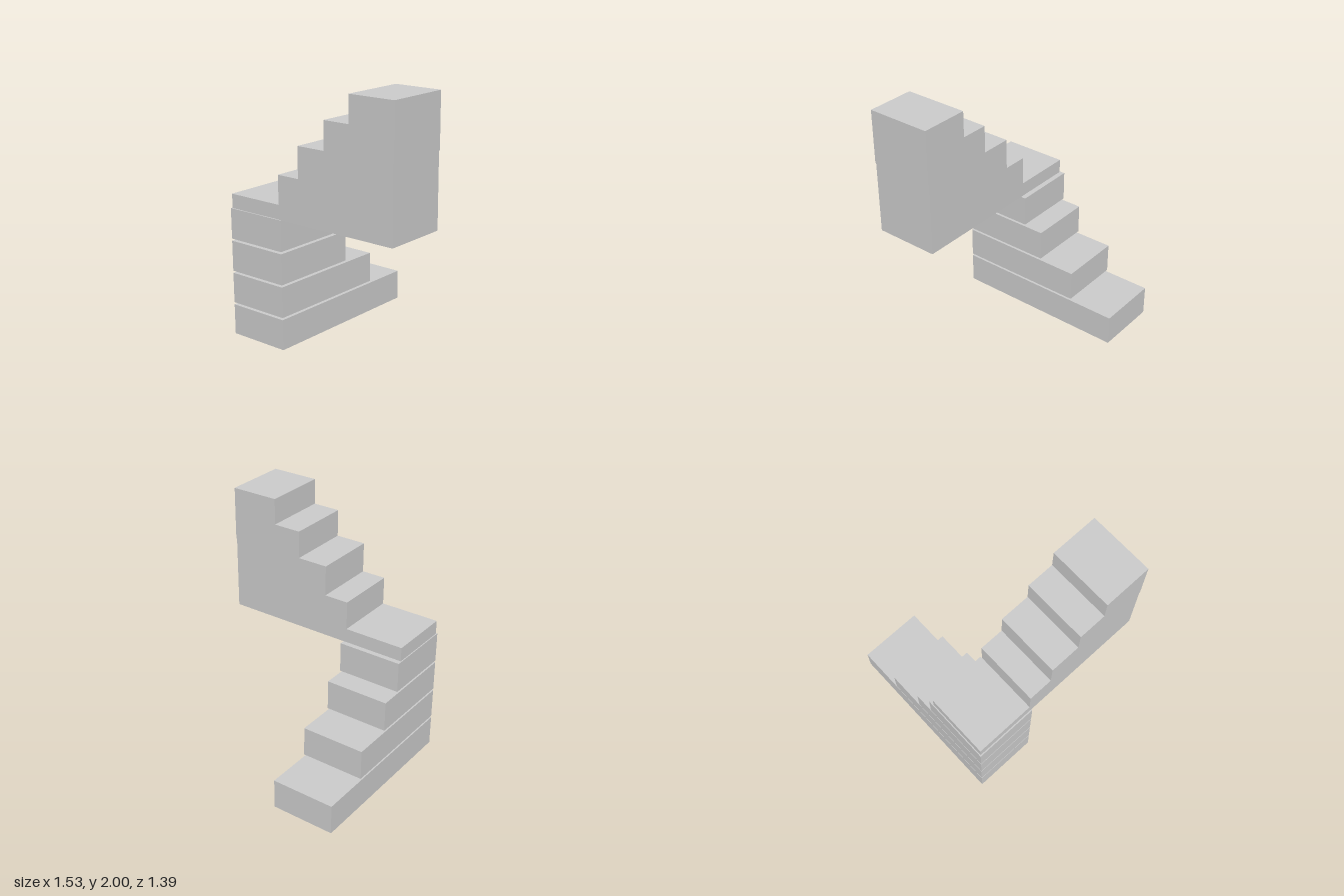
import * as THREE from 'three';

export function createModel() {
  const model = new THREE.Group();
  const material = new THREE.MeshStandardMaterial({ color: 0xcccccc, flatShading: true });

  // Lower flight: separate slabs with thin gaps, sharing one front face
  const slabHeight = 0.24, slabFront = 0.697;
  const slabBacks = [-0.697, -0.325, -0.022, 0.137];
  const lowerFlight = new THREE.Group();
  lowerFlight.name = 'lowerFlight';
  slabBacks.forEach((back, i) => {
    const slab = new THREE.Mesh(new THREE.BoxGeometry(0.51, slabHeight, slabFront - back), material);
    slab.name = `lowerStep${i + 1}`;
    slab.position.set(-0.513, i * 0.257 + slabHeight / 2, (slabFront + back) / 2);
    lowerFlight.add(slab);
  });
  model.add(lowerFlight);

  // Upper flight: solid stepped profile rising towards +x, [riser x, tread y]
  const base = 1.01, right = 0.757, topRight = 0.764;
  const steps = [[-0.76, 1.122], [-0.28, 1.345], [-0.085, 1.583], [0.16, 1.797], [0.382, 2]];
  const profile = new THREE.Shape();
  profile.moveTo(right, base);
  // The two top steps overhang slightly at the tall end
  profile.lineTo(right, 1.583);
  profile.lineTo(topRight, 1.583);
  profile.lineTo(topRight, 2);
  for (let i = steps.length - 1; i >= 0; i--) {
    const [x, y] = steps[i];
    profile.lineTo(x, y);
    profile.lineTo(x, i > 0 ? steps[i - 1][1] : base);
  }
  profile.closePath();
  const upperGeometry = new THREE.ExtrudeGeometry(profile, { depth: 0.509, bevelEnabled: false });
  upperGeometry.translate(0, 0, 0.178);
  const upperFlight = new THREE.Mesh(upperGeometry, material);
  upperFlight.name = 'upperFlight';
  model.add(upperFlight);

  return model;
}
